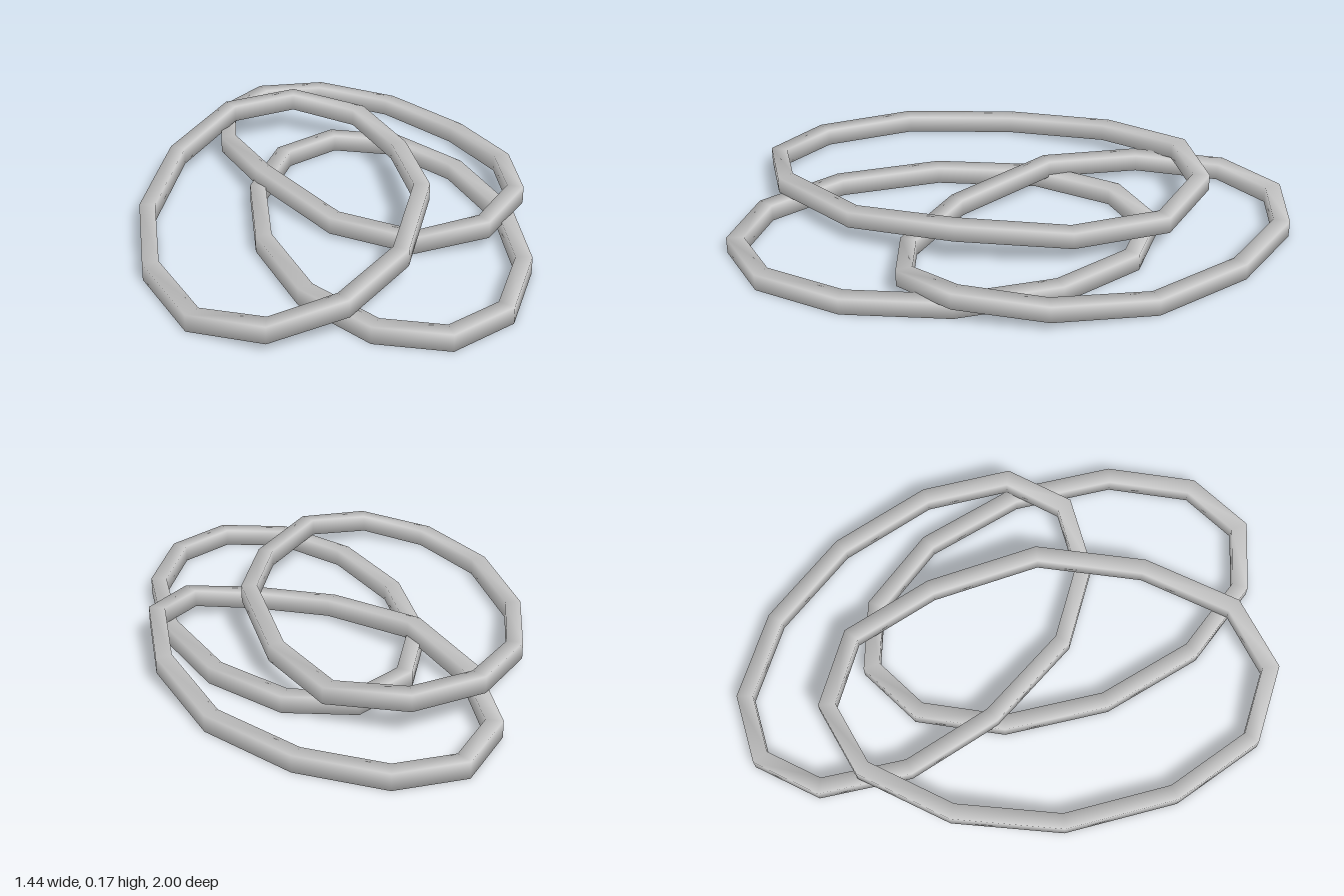
import * as THREE from 'three';

const HALF_WIDTH = 0.028, HALF_HEIGHT = 0.031;

// Closed, smooth-shaded bar of square section, mitred at every joint
function linkGeometry(points) {
  const n = points.length;
  const at = i => points[(i + n) % n];
  const flatDir = (a, b) => new THREE.Vector2(b.x - a.x, b.z - a.z).normalize();

  // Four corners of the section at joint i
  const section = i => {
    const a = flatDir(at(i - 1), at(i)), b = flatDir(at(i), at(i + 1));
    const t = a.clone().add(b).normalize();
    const w = HALF_WIDTH / t.dot(a);
    return [[1, 1], [1, -1], [-1, -1], [-1, 1]].map(([s, v]) =>
      [at(i).x - t.y * s * w, at(i).y + v * HALF_HEIGHT, at(i).z + t.x * s * w]);
  };

  const pos = [], idx = [];
  for (let i = 0; i < n; i++) {
    pos.push(...section(i).flat());
    const o = i * 4, p = ((i + 1) % n) * 4;
    for (let j = 0; j < 4; j++) {
      const k = (j + 1) % 4;
      idx.push(o + j, o + k, p + j, o + k, p + k, p + j);
    }
  }
  const g = new THREE.BufferGeometry();
  g.setAttribute('position', new THREE.Float32BufferAttribute(pos, 3));
  g.setIndex(idx);
  g.computeVertexNormals();
  return g;
}

export function createModel() {
  const group = new THREE.Group();
  group.name = 'linkedRings';
  const material = new THREE.MeshStandardMaterial({ color: 0xcccccc });
  const addLink = (name, points) => {
    const mesh = new THREE.Mesh(linkGeometry(points), material);
    mesh.name = name;
    group.add(mesh);
  };
  const vectors = list => list.map(p => new THREE.Vector3(...p));

  // Flat oval lying on the ground
  addLink('flatLink', Array.from({ length: 12 }, (_, i) => {
    const a = i * Math.PI / 6;
    return new THREE.Vector3(0.15 + 0.435 * Math.sin(a), 0.031, 0.24 - 0.73 * Math.cos(a));
  }));

  // Oval whose front end climbs over the flat one
  addLink('middleLink', vectors([
    [-0.02, 0.031, -0.973], [0.215, 0.031, -0.95], [0.455, 0.031, -0.75], [0.633, 0.033, -0.43],
    [0.69, 0.07, -0.07], [0.63, 0.1, 0.235], [0.46, 0.075, 0.392], [0.22, 0.035, 0.37],
    [-0.02, 0.045, 0.185], [-0.2, 0.085, -0.16], [-0.26, 0.06, -0.5], [-0.2, 0.038, -0.815],
  ]));

  // Oval resting across both others
  addLink('topLink', vectors([
    [0.04, 0.13, -0.69], [0.26, 0.11, -0.52], [0.325, 0.108, -0.19], [0.29, 0.14, 0.21],
    [0.11, 0.1, 0.56], [-0.15, 0.095, 0.8], [-0.405, 0.062, 0.832], [-0.61, 0.031, 0.665],
    [-0.69, 0.031, 0.33], [-0.64, 0.035, -0.07], [-0.47, 0.075, -0.42], [-0.22, 0.122, -0.655],
  ]));

  return group;
}
